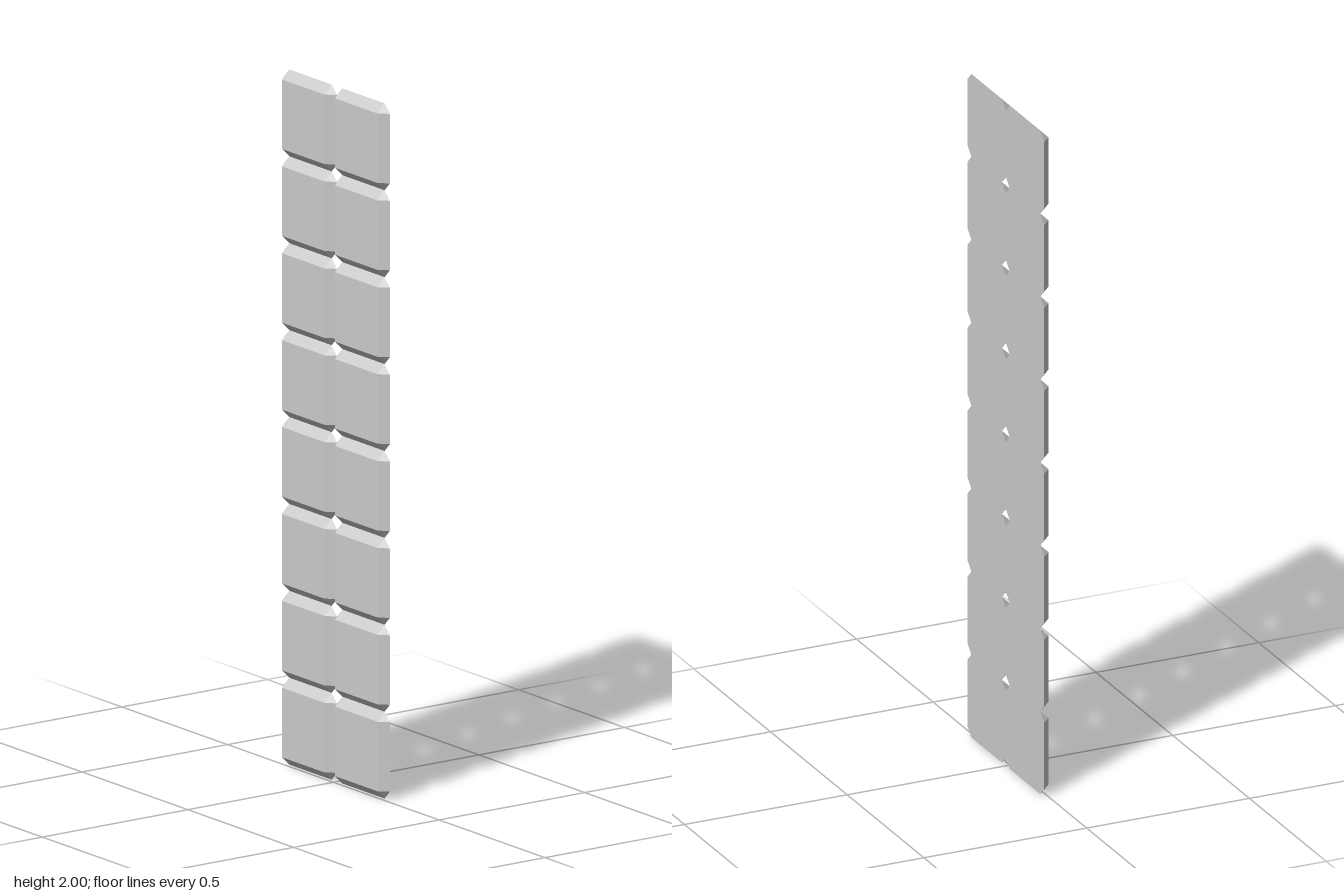
import * as THREE from 'three';
import { ConvexGeometry } from 'three/addons/geometries/ConvexGeometry.js';

const PITCH = 0.25, BEVEL = 0.025, DEPTH = 0.025;
const COLUMNS = 2, ROWS = 8;

// Bevelled tile: octagonal back, smaller square front, triangular corner facets
function tileGeometry() {
  const outer = PITCH / 2, inner = outer - BEVEL, back = -DEPTH / 2, front = DEPTH / 2;
  const points = [];
  for (const sx of [-1, 1]) {
    for (const sy of [-1, 1]) {
      points.push(
        new THREE.Vector3(sx * inner, sy * inner, front),
        new THREE.Vector3(sx * outer, sy * inner, back),
        new THREE.Vector3(sx * inner, sy * outer, back)
      );
    }
  }
  return new ConvexGeometry(points);
}

export function createModel() {
  const model = new THREE.Group();
  model.name = 'tilePanel';
  const material = new THREE.MeshStandardMaterial({ color: 0xcccccc, flatShading: true });
  const geometry = tileGeometry();

  // Grid of tiles, touching at their back edges
  for (let row = 0; row < ROWS; row++) {
    for (let col = 0; col < COLUMNS; col++) {
      const tile = new THREE.Mesh(geometry, material);
      tile.name = `tile_row${row + 1}_column${col + 1}`;
      tile.position.set((col - (COLUMNS - 1) / 2) * PITCH, (row + 0.5) * PITCH, 0);
      model.add(tile);
    }
  }
  return model;
}
